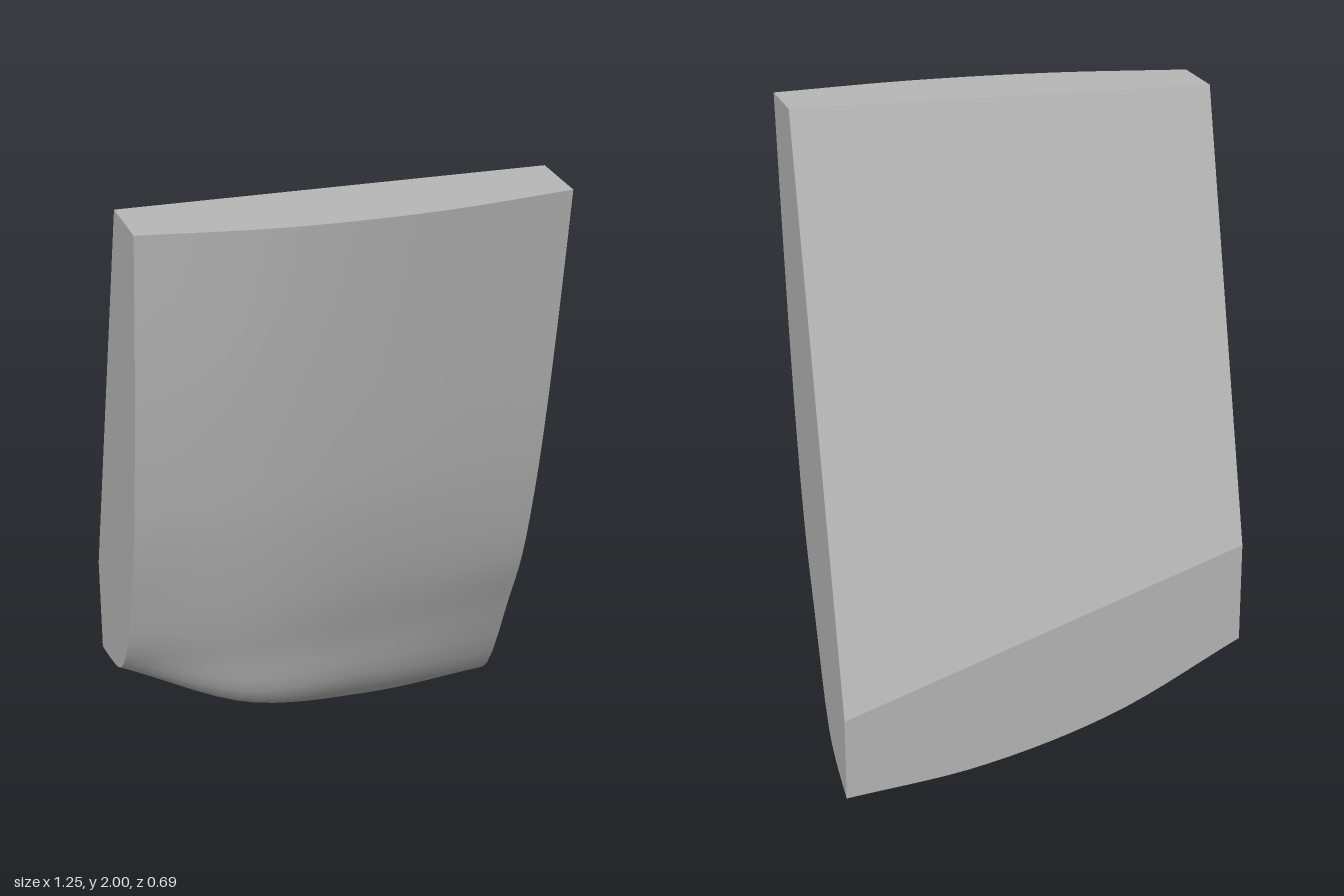
import * as THREE from 'three';

const X = 0.627, BACK = -0.345, ROWS = 32, COLS = 20;

// Front profiles [z, y] from the top edge down and under to the back edge
const PROFILES = [
  { x: -X, pts: [[0.22, 2], [0.18, 1.6], [0.135, 1.25], [0.093, 0.98], [0.02, 0.7], [-0.054, 0.49], [-0.14, 0.39], [-0.24, 0.36], [BACK, 0.345]] },
  { x: -0.22, pts: [[0.308, 2], [0.256, 1.6], [0.205, 1.25], [0.16, 0.98], [0.085, 0.66], [0.02, 0.44], [-0.045, 0.24], [-0.16, 0.165], [BACK, 0.15]] },
  { x: 0.2, pts: [[0.345, 2], [0.283, 1.6], [0.228, 1.25], [0.178, 0.98], [0.095, 0.66], [0.018, 0.44], [-0.065, 0.2], [-0.18, 0.08], [BACK, 0.04]] },
  { x: X, pts: [[0.33, 2], [0.278, 1.6], [0.226, 1.25], [0.176, 0.98], [0.1, 0.68], [0.01, 0.46], [-0.135, 0.135], [-0.22, 0.06], [BACK, 0]] },
];

const vec = (x, y, z) => new THREE.Vector3(x, y, z);

// Rows of points across the curved front, each row running from -x to +x
function frontRows() {
  const columns = PROFILES.map(({ x, pts }) =>
    new THREE.CatmullRomCurve3(pts.map(([z, y]) => vec(x, y, z))));
  const rows = [];
  for (let r = 0; r <= ROWS; r++) {
    const across = new THREE.CatmullRomCurve3(columns.map((c) => c.getPoint(r / ROWS)));
    rows.push(across.getPoints(COLS));
  }
  return rows;
}

// Smooth surface through a grid of points
function gridGeometry(rows) {
  const geometry = new THREE.BufferGeometry().setFromPoints(rows.flat());
  const index = [], n = COLS + 1;
  for (let r = 0; r < ROWS; r++) {
    for (let c = 0; c < COLS; c++) {
      const a = r * n + c, b = a + n;
      index.push(a, b, a + 1, b, b + 1, a + 1);
    }
  }
  geometry.setIndex(index);
  geometry.computeVertexNormals();
  return geometry;
}

// Flat convex face, wound so that it faces the given direction
function faceGeometry(points, outward) {
  const index = [], area = vec(0, 0, 0);
  for (let i = 1; i < points.length - 1; i++) {
    index.push(0, i, i + 1);
    area.add(points[i].clone().sub(points[0]).cross(points[i + 1].clone().sub(points[0])));
  }
  if (area.dot(outward) < 0) index.reverse();
  const geometry = new THREE.BufferGeometry().setFromPoints(points);
  geometry.setIndex(index);
  geometry.computeVertexNormals();
  return geometry;
}

export function createModel() {
  const group = new THREE.Group();
  group.name = 'curvedBlock';
  const grey = new THREE.MeshStandardMaterial({ color: 0xb8b8b8 });
  grey.name = 'grey';
  const add = (name, geometry) => {
    const mesh = new THREE.Mesh(geometry, grey);
    mesh.name = name;
    group.add(mesh);
  };

  const rows = frontRows();
  const topRight = vec(-X, 2, 0.027), topLeft = vec(X, 2, 0.135);
  const kinkRight = vec(-X, 0.66, BACK), kinkLeft = vec(X, 0.26, BACK);

  add('curvedFront', gridGeometry(rows));
  add('topFace', faceGeometry([...rows[0], topLeft, topRight], vec(0, 1, 0)));
  add('slopedBack', faceGeometry([topRight, topLeft, kinkLeft, kinkRight], vec(0, 0, -1)));
  add('uprightBack', faceGeometry([kinkLeft, kinkRight, ...rows[ROWS]], vec(0, 0, -1)));

  // Flat sides
  add('rightSide', faceGeometry([topRight, ...rows.map((r) => r[0]), kinkRight], vec(-1, 0, 0)));
  add('leftSide', faceGeometry([topLeft, ...rows.map((r) => r[COLS]), kinkLeft], vec(1, 0, 0)));
  return group;
}
